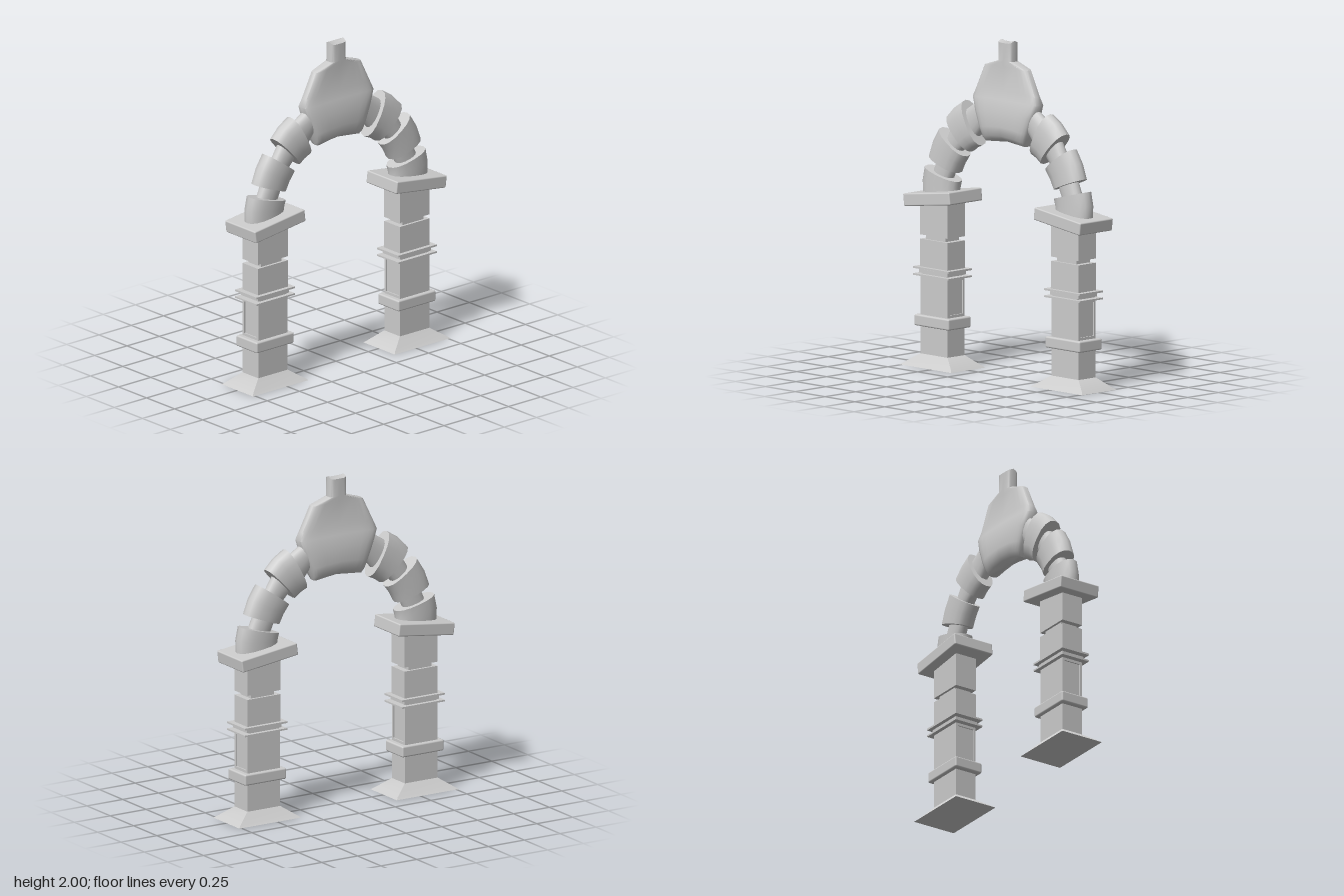
import * as THREE from 'three';
import { toCreasedNormals } from 'three/addons/utils/BufferGeometryUtils.js';
import { RoundedBoxGeometry } from 'three/addons/geometries/RoundedBoxGeometry.js';

const stone = new THREE.MeshStandardMaterial({ color: 0xcccccc });
const PILLAR_Z = 0.549;

function add(parent, name, geometry, x = 0, y = 0, z = 0) {
  const mesh = new THREE.Mesh(geometry, stone);
  mesh.name = name;
  mesh.position.set(x, y, z);
  parent.add(mesh);
  return mesh;
}

// Skin a stack of equal-length loops and close both ends with a fan.
function loft(loops, crease = 0.7) {
  const n = loops[0].length, pos = [], index = [];
  loops.forEach(loop => loop.forEach(p => pos.push(p.x, p.y, p.z)));
  for (let i = 0; i < loops.length - 1; i++) {
    for (let j = 0; j < n; j++) {
      const k = (j + 1) % n, a = i * n + j, b = i * n + k;
      index.push(a, b, b + n, a, b + n, a + n);
    }
  }
  const cap = (row, flip) => {
    const c = new THREE.Vector3();
    loops[row].forEach(p => c.addScaledVector(p, 1 / n));
    const id = pos.length / 3;
    pos.push(c.x, c.y, c.z);
    for (let j = 0; j < n; j++) {
      const a = row * n + j, b = row * n + (j + 1) % n;
      index.push(id, flip ? b : a, flip ? a : b);
    }
  };
  cap(0, true);
  cap(loops.length - 1, false);
  const g = new THREE.BufferGeometry();
  g.setAttribute('position', new THREE.Float32BufferAttribute(pos, 3));
  g.setIndex(index);
  return toCreasedNormals(g, crease);
}

const rectLoop = (hx, hz, y) =>
  [[-1, 1], [1, 1], [1, -1], [-1, -1]].map(([x, z]) => new THREE.Vector3(x * hx, y, z * hz));

const power = (v, e) => Math.sign(v) * Math.pow(Math.abs(v), e);

// Oval section of the arch, spanning an outer and an inner point given as [z, y].
function ovalLoop([oz, oy], [iz, iy], hx, sides = 16) {
  return Array.from({ length: sides }, (_, j) => {
    const a = j / sides * Math.PI * 2;
    const c = power(Math.cos(a), 0.85), s = power(Math.sin(a), 0.85);
    return new THREE.Vector3(hx * s, (oy + iy) / 2 + (oy - iy) / 2 * c, (oz + iz) / 2 + (oz - iz) / 2 * c);
  });
}

// Arch stone between two sections, with a slight outward belly.
function archStone([o0, i0, o1, i1], hx, belly) {
  const mid = (p, q, b) => {
    const dz = q[0] - p[0], dy = q[1] - p[1], l = Math.hypot(dz, dy);
    return [(p[0] + q[0]) / 2 + dy / l * b, (p[1] + q[1]) / 2 - dz / l * b];
  };
  return loft([
    ovalLoop(o0, i0, hx),
    ovalLoop(mid(o0, o1, belly), mid(i0, i1, belly / 2), hx),
    ovalLoop(o1, i1, hx)
  ]);
}

function createPillar() {
  const g = new THREE.Group();
  g.name = 'pillar';
  g.position.z = PILLAR_Z;
  const box = (name, w, d, y0, y1, round = 0) => add(g, name,
    round ? new RoundedBoxGeometry(w, y1 - y0, d, 2, round) : new THREE.BoxGeometry(w, y1 - y0, d),
    0, (y0 + y1) / 2, 0);

  add(g, 'flaredBase', loft([rectLoop(0.14, 0.216, 0), rectLoop(0.125, 0.2, 0.012), rectLoop(0.07, 0.114, 0.07)]));
  box('lowerShaft', 0.14, 0.228, 0.07, 0.24);
  box('lowerBand', 0.186, 0.29, 0.235, 0.302, 0.01);

  // Panelled shaft: core with a raised frame on both narrow faces
  box('panelShaft', 0.14, 0.212, 0.3, 0.58);
  const frame = new THREE.Shape([[-0.07, 0.3], [0.07, 0.3], [0.07, 0.54], [-0.07, 0.54]].map(p => new THREE.Vector2(...p)));
  frame.holes.push(new THREE.Path([[-0.055, 0.318], [-0.055, 0.518], [0.055, 0.518], [0.055, 0.318]].map(p => new THREE.Vector2(...p))));
  const frameGeo = new THREE.ExtrudeGeometry(frame, { depth: 0.008, bevelEnabled: false });
  add(g, 'frontPanelFrame', frameGeo, 0, 0, 0.106);
  add(g, 'backPanelFrame', frameGeo, 0, 0, -0.106).rotation.y = Math.PI;

  box('lowerPlate', 0.19, 0.298, 0.534, 0.544);
  box('plateCore', 0.15, 0.24, 0.55, 0.57);
  box('upperPlate', 0.19, 0.298, 0.575, 0.586);
  box('middleBlock', 0.14, 0.23, 0.58, 0.75);
  box('neck', 0.11, 0.16, 0.74, 0.78);
  box('upperBlock', 0.14, 0.23, 0.775, 1.01);

  // Capital slab leans outward
  const capital = add(g, 'capital', new RoundedBoxGeometry(0.27, 0.075, 0.39, 2, 0.008), 0, 1.003, -0.002);
  capital.rotation.x = 0.13;
  return g;
}

// Each stone: outer and inner point of its lower end, then of its upper end, as [z, y].
const ARCH_STONES = [
  [[0.69, 1.01], [0.42, 1.03], [0.674, 1.178], [0.408, 1.109]],
  [[0.637, 1.247], [0.408, 1.162], [0.552, 1.416], [0.34, 1.268]],
  [[0.488, 1.496], [0.302, 1.3], [0.355, 1.602], [0.2175, 1.347]]
];
const ARCH_NECKS = [
  [[0.615, 1.14], [0.477, 1.098], [0.568, 1.25], [0.43, 1.2]],
  [[0.488, 1.374], [0.382, 1.294], [0.44, 1.454], [0.34, 1.337]],
  [[0.334, 1.554], [0.239, 1.4], [0.233, 1.618], [0.18, 1.475]]
];

// Keystone rows: half depth, centre height, edge height, half thickness, ridge drop.
const KEYSTONE = [
  [0.165, 1.415, 1.385, 0.04, 0],
  [0.178, 1.435, 1.412, 0.062, 0],
  [0.2, 1.49, 1.464, 0.07, 0],
  [0.24, 1.575, 1.56, 0.067, 0],
  [0.27, 1.65, 1.64, 0.053, 0],
  [0.25, 1.7, 1.69, 0.037, 0],
  [0.176, 1.845, 1.838, 0.035, 0],
  [0.057, 1.88, 1.876, 0.035, 0],
  [0.055, 2, 2, 0.035, 0.016]
];

function keystoneLoop([hz, yc, ye, hx, ridge]) {
  return Array.from({ length: 24 }, (_, j) => {
    const a = j / 24 * Math.PI * 2;
    const c = power(Math.cos(a), 0.45), s = power(Math.sin(a), 0.45);
    return new THREE.Vector3(hx * s, yc + (ye - yc) * c * c - ridge * Math.abs(s), hz * c);
  });
}

export function createModel() {
  const model = new THREE.Group();
  model.name = 'stoneArch';

  // Two identical halves facing each other
  for (const [name, turn] of [['frontHalf', 0], ['backHalf', Math.PI]]) {
    const half = new THREE.Group();
    half.name = name;
    half.rotation.y = turn;
    half.add(createPillar());
    ARCH_STONES.forEach((s, i) => add(half, 'archStone' + (i + 1), archStone(s, 0.07, 0.01)));
    ARCH_NECKS.forEach((s, i) => add(half, 'archNeck' + (i + 1), archStone(s, 0.043, 0)));
    model.add(half);
  }

  add(model, 'keystone', loft(KEYSTONE.map(keystoneLoop), 0.8));
  return model;
}
